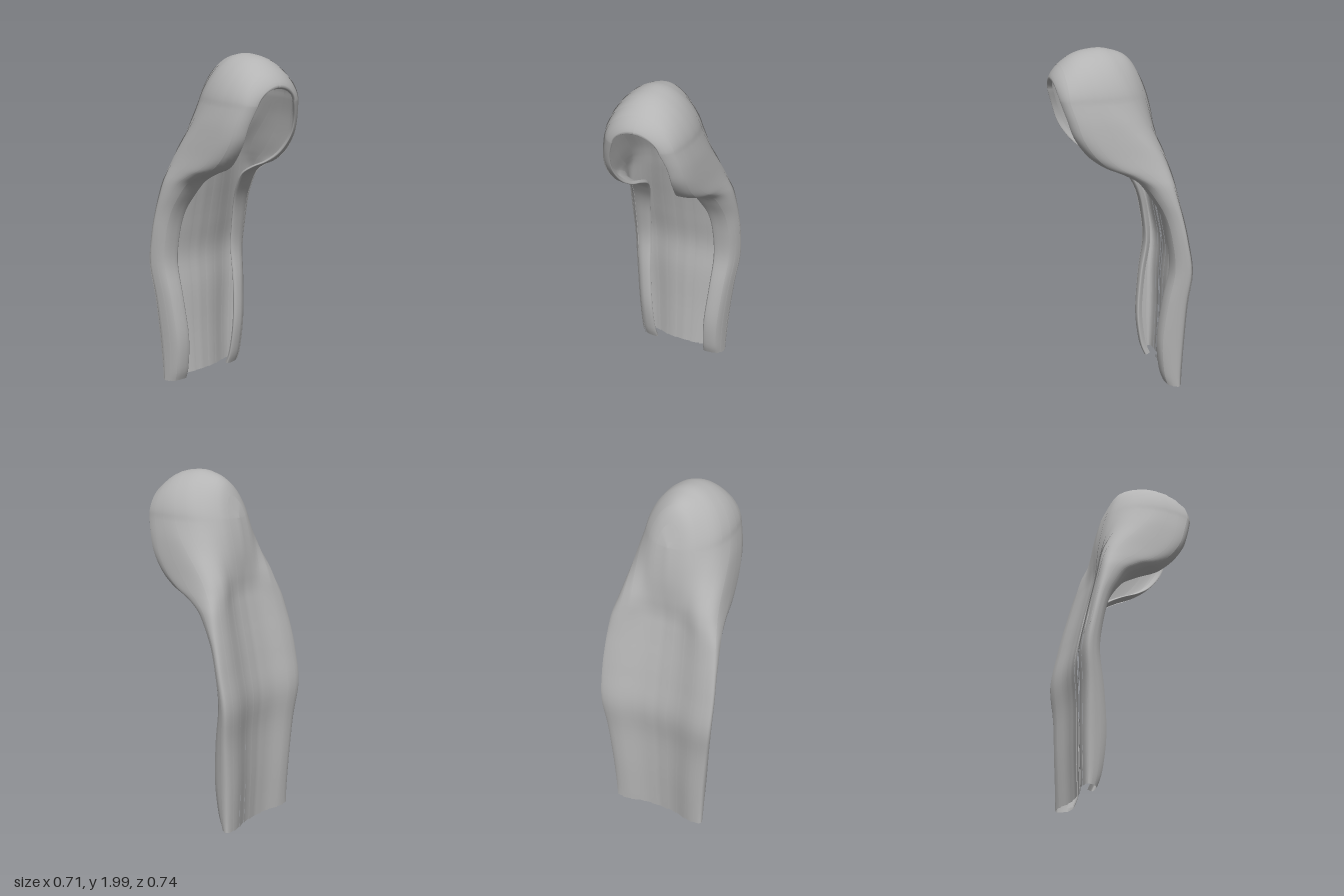
import * as THREE from 'three';

const { lerp, clamp, smoothstep } = THREE.MathUtils;

// Horizontal stations below the crown: y, half width, half opening, front z, back z
const stations = [
  [1.75, 0.235, 0.135, 0.352, -0.17],
  [1.65, 0.257, 0.168, 0.32, -0.198],
  [1.55, 0.272, 0.175, 0.285, -0.222],
  [1.45, 0.286, 0.165, 0.215, -0.238],
  [1.38, 0.299, 0.145, 0.13, -0.245],
  [1.33, 0.31, 0.14, 0.02, -0.252],
  [1.27, 0.323, 0.145, -0.08, -0.265],
  [1.18, 0.333, 0.165, -0.15, -0.285],
  [1.08, 0.34, 0.19, -0.205, -0.308],
  [0.95, 0.346, 0.205, -0.24, -0.335],
  [0.76, 0.342, 0.21, -0.26, -0.367],
  [0.55, 0.318, 0.2, -0.225, -0.352],
  [0.3, 0.296, 0.18, -0.2, -0.345],
  [0.1, 0.284, 0.17, -0.22, -0.335],
  [0.01, 0.28, 0.165, -0.25, -0.33],
];
const LAST = 7; // control points run 0 (back centre) to 7 (inner rim)

// Parting line over the crown, back to front: y, z for each control point
const ridge = [[1.75, -0.17], [1.935, -0.075], [1.995, 0.05], [1.997, 0.16],
  [1.97, 0.25], [1.91, 0.33], [1.85, 0.37], [1.832, 0.345]];

// Half cross-section: a round hood above, blending to a flat panel with rolled sides below.
// The back flattens higher up than the front.
function section([y, w, o, zf, zb]) {
  const d = zf - zb;
  const kBack = smoothstep(1.76 - y, 0, 0.45);
  const kFront = smoothstep(1.6 - y, 0, 0.55);
  const fx = (t) => o + (w - o) * t;
  const hood = [[0, 0], [0.5 * w, 0.067 * d], [0.87 * w, 0.25 * d], [w, 0.5 * d],
    [fx(0.9), 0.76 * d], [fx(0.55), 0.94 * d], [o, d]];
  const fall = [[0, 0.035], [0.35 * w, 0.032], [0.74 * w, 0.005], [w, 0.15 * d],
    [0.98 * w, 0.55 * d], [fx(0.6), 0.95 * d], [o, d]];
  const pts = hood.map(([x, z], i) => {
    const k = i < 4 ? kBack : kFront;
    return new THREE.Vector3(lerp(x, fall[i][0], k), y, zb + lerp(z, fall[i][1], k));
  });
  pts.push(new THREE.Vector3(o * 1.1, y, zf - 0.035));
  return pts;
}

const rows = [];

// Crown: arcs from the parting line down to the first station
const CROWN = 14;
const base = section(stations[0]);
for (let j = 0; j < CROWN; j++) {
  const angle = (j / CROWN) * Math.PI / 2;
  const t = 1 - Math.cos(angle) ** 1.3;
  rows.push(base.map((p, i) => new THREE.Vector3(
    p.x * Math.sin(angle), lerp(ridge[i][0], p.y, t), lerp(ridge[i][1], p.z, t))));
}

// Fall: smooth interpolation between the stations
const STEPS = 4;
const spline = stations[0].map((_, c) => (i, t) => {
  const [a, b, e, f] = [-1, 0, 1, 2].map((n) => stations[clamp(i + n, 0, stations.length - 1)][c]);
  return b + 0.5 * t * (e - a + t * (2 * a - 5 * b + 4 * e - f + t * (3 * (b - e) + f - a)));
});
for (let j = 0; j <= (stations.length - 1) * STEPS; j++) {
  rows.push(section(spline.map((f) => f(Math.floor(j / STEPS), (j % STEPS) / STEPS))));
}
const curves = rows.map((pts) => new THREE.CatmullRomCurve3(pts, false, 'catmullrom', 0.5));

// Surface point at signed position s, lifted outwards
function surfacePoint(curve, s, lift) {
  const u = Math.min(Math.abs(s) / LAST, 1);
  const p = curve.getPoint(u);
  const q = curve.getPoint(Math.min(u + 0.004, 1)).sub(curve.getPoint(Math.max(u - 0.004, 0)));
  const len = Math.hypot(q.x, q.z) || 1;
  p.x += (q.z / len) * lift;
  p.z -= (q.x / len) * lift;
  p.x = Math.max(p.x, 0) * (s < 0 ? -1 : 1);
  return p;
}

// One lengthwise lock from position s0 to s1, rising to a thin step at its front edge
function lockGeometry(s0, s1, liftAt) {
  const n = 8, pos = [], index = [];
  curves.forEach((curve, r) => {
    const fade = Math.min(1, (2 * r) / CROWN);
    for (let i = 0; i <= n; i++) {
      const s = s0 + ((s1 - s0) * i) / n;
      pos.push(...surfacePoint(curve, s, liftAt(Math.abs(s)) * fade).toArray());
    }
  });
  for (let r = 0; r < curves.length - 1; r++) {
    for (let i = 0; i < n; i++) {
      const a = r * (n + 1) + i, b = a + n + 1;
      index.push(a, a + 1, b, a + 1, b + 1, b);
    }
  }
  const g = new THREE.BufferGeometry();
  g.setAttribute('position', new THREE.Float32BufferAttribute(pos, 3));
  g.setIndex(index);
  g.computeVertexNormals();
  // Smooth the shading across the parting
  for (let i = 0; i <= n; i++) g.attributes.normal.setX(i, 0);
  g.normalizeNormals();
  return g;
}

export function createModel() {
  const hair = new THREE.MeshStandardMaterial({ color: 0xb4b4b4, side: THREE.DoubleSide });
  hair.name = 'hair grey';
  const group = new THREE.Group();
  group.name = 'longHair';
  const add = (name, geometry) => {
    const mesh = new THREE.Mesh(geometry, hair);
    mesh.name = name;
    group.add(mesh);
  };

  // Centre back lock
  const edges = [0.6, 1.2, 1.8, 2.4, 3, 3.6, 4.2, 4.8, LAST];
  add('backLock', lockGeometry(-edges[0], edges[0], (s) => 0.01 * s));

  // Mirrored side locks, each tucked under the one behind it
  for (let i = 0; i < edges.length - 1; i++) {
    const start = edges[i], end = edges[i + 1];
    const lift = (s) => (end === LAST ? 0 : 0.01 * Math.max(0, s - start));
    add('leftLock' + (i + 1), lockGeometry(start - 0.1, end, lift));
    add('rightLock' + (i + 1), lockGeometry(-end, 0.1 - start, lift));
  }
  return group;
}
